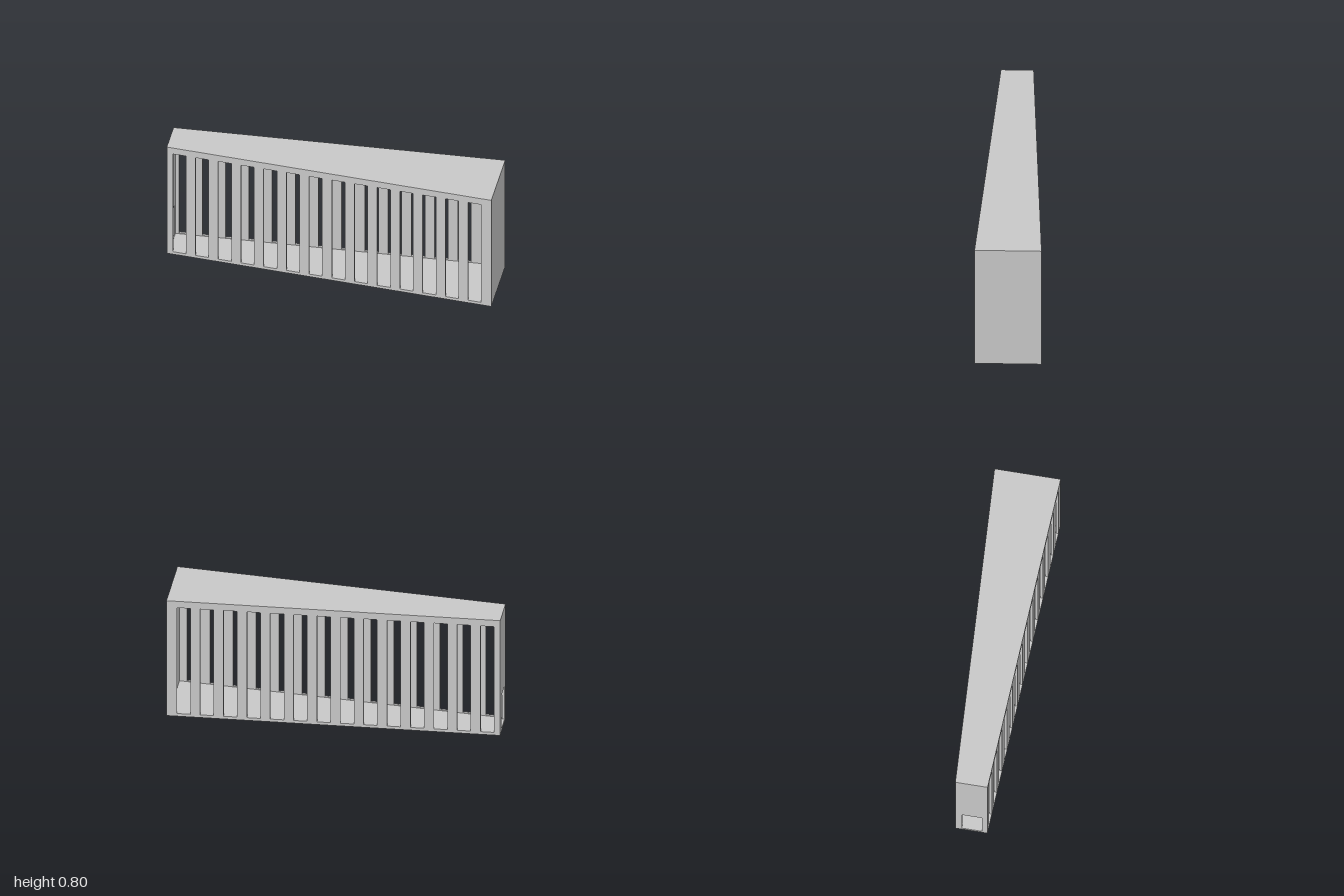
import * as THREE from 'three';

const H = 0.8, T = 0.015;           // height and panel thickness
const frontZ = x => 0.1475 + 0.0525 * x; // front face runs from 0.095 to 0.2
const backZ = x => -0.15 - 0.05 * x;     // back face runs from -0.1 to -0.2

const polygon = pts => new THREE.Shape(pts.map(p => new THREE.Vector2(p[0], p[1])));
const rect = (x0, y0, x1, y1) => [[x0, y0], [x1, y0], [x1, y1], [x0, y1]];
const extrude = shape => new THREE.ExtrudeGeometry(shape, { depth: T, bevelEnabled: false });

function addHole(shape, x0, y0, x1, y1) {
  const pts = rect(x0, y0, x1, y1).reverse().map(p => new THREE.Vector2(p[0], p[1]));
  shape.holes.push(new THREE.Path(pts));
}

// Slotted long wall, slanted in depth so that it follows the taper
function slottedWall(depthAt) {
  const shape = polygon(rect(-1, T, 1, H - T));
  for (let i = 0; i < 14; i++) {
    const x = -0.963 + i * 0.14;
    addHole(shape, x, 0.019, x + 0.081, 0.755);
  }
  const geo = extrude(shape);
  const pos = geo.attributes.position;
  for (let i = 0; i < pos.count; i++) pos.setZ(i, pos.getZ(i) + depthAt(pos.getX(i)));
  geo.computeVertexNormals();
  return geo;
}

// Horizontal tapered panel with its underside at height y
function taperedPanel(y) {
  const shape = polygon([[-1, -frontZ(-1)], [1, -frontZ(1)], [1, -backZ(1)], [-1, -backZ(-1)]]);
  return extrude(shape).rotateX(-Math.PI / 2).translate(0, y, 0);
}

// Upright end panel fitted between the long walls
function endPanel(x, start, opening) {
  const inset = T - 0.003;
  const shape = polygon(rect(-frontZ(x) + inset, T, -backZ(x) - inset, H - T));
  if (opening) addHole(shape, -0.06, 0.019, 0.06, 0.25);
  return extrude(shape).rotateY(Math.PI / 2).translate(start, 0, 0);
}

export function createModel() {
  const group = new THREE.Group();
  const grey = new THREE.MeshStandardMaterial({ color: 0xc8c8c8 });
  grey.name = 'light grey';

  const add = (name, geo) => {
    const mesh = new THREE.Mesh(geo, grey);
    mesh.name = name;
    group.add(mesh);
  };

  add('frontSlottedWall', slottedWall(x => frontZ(x) - T));
  add('backSlottedWall', slottedWall(backZ));
  add('floor', taperedPanel(0));
  add('roof', taperedPanel(H - T));
  add('wideEnd', endPanel(1, 1 - T, false));
  add('narrowEnd', endPanel(-1, -1, true));
  return group;
}
